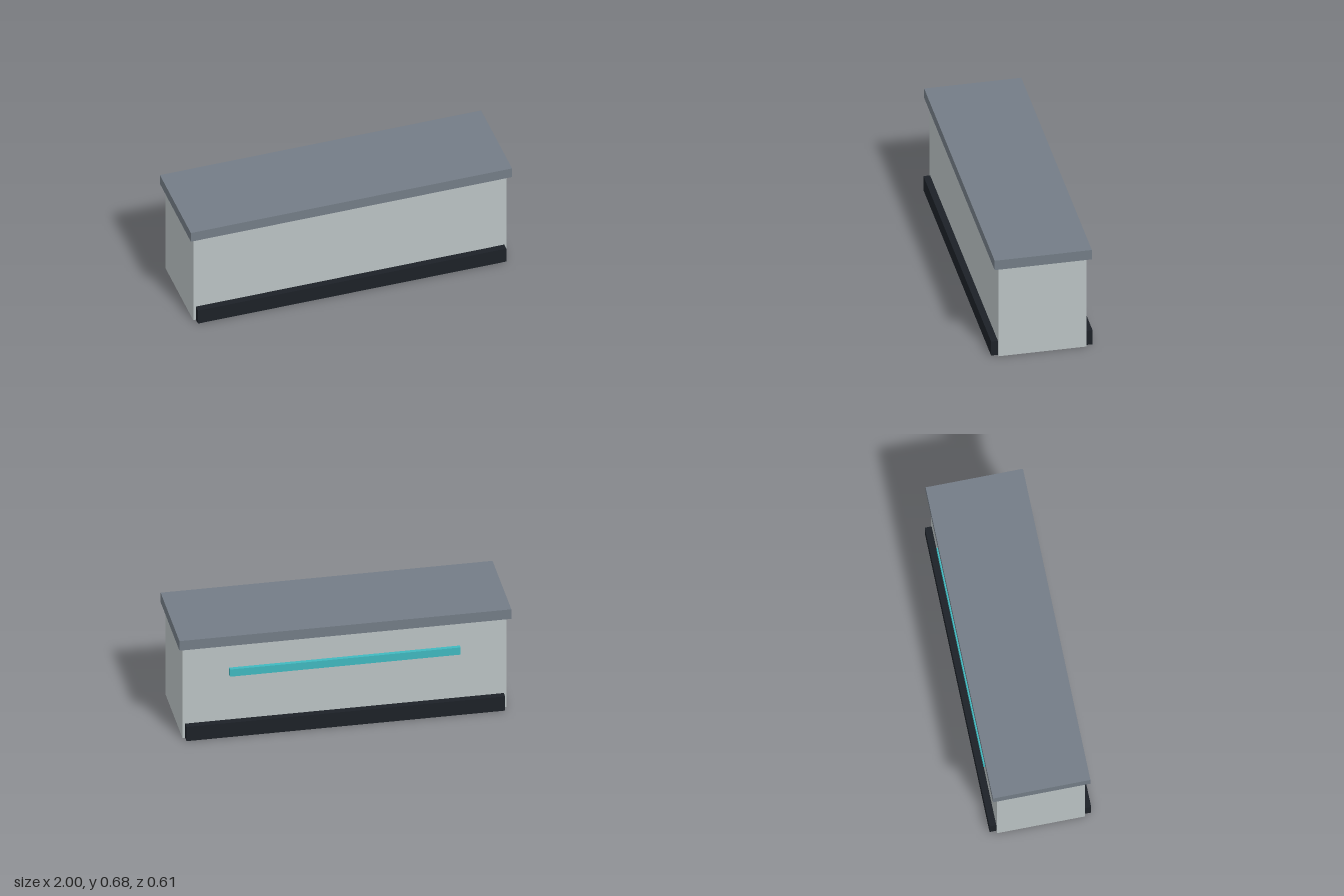
import * as THREE from 'three';

// Box spanning y0..y1, centred on x and on the given z
function slab(name, color, width, depth, y0, y1, z = 0) {
  const mesh = new THREE.Mesh(
    new THREE.BoxGeometry(width, y1 - y0, depth),
    new THREE.MeshStandardMaterial({ color })
  );
  mesh.name = name;
  mesh.position.set(0, (y0 + y1) / 2, z);
  return mesh;
}

export function createModel() {
  const group = new THREE.Group();
  group.name = 'counter';
  group.add(
    slab('counterBody', 0xbac2c3, 1.952, 0.532, 0, 0.615),
    slab('counterTop', 0x737c86, 2, 0.588, 0.615, 0.68),
    // Runs through the body and shows as a kick board front and back; raised a hair off the body's underside
    slab('kickPlinth', 0x1c2127, 1.92, 0.614, 0.001, 0.098),
    // Accent strip on the back face
    slab('accentStrip', 0x40b8bf, 1.39, 0.03, 0.402, 0.451, -0.275)
  );
  return group;
}
